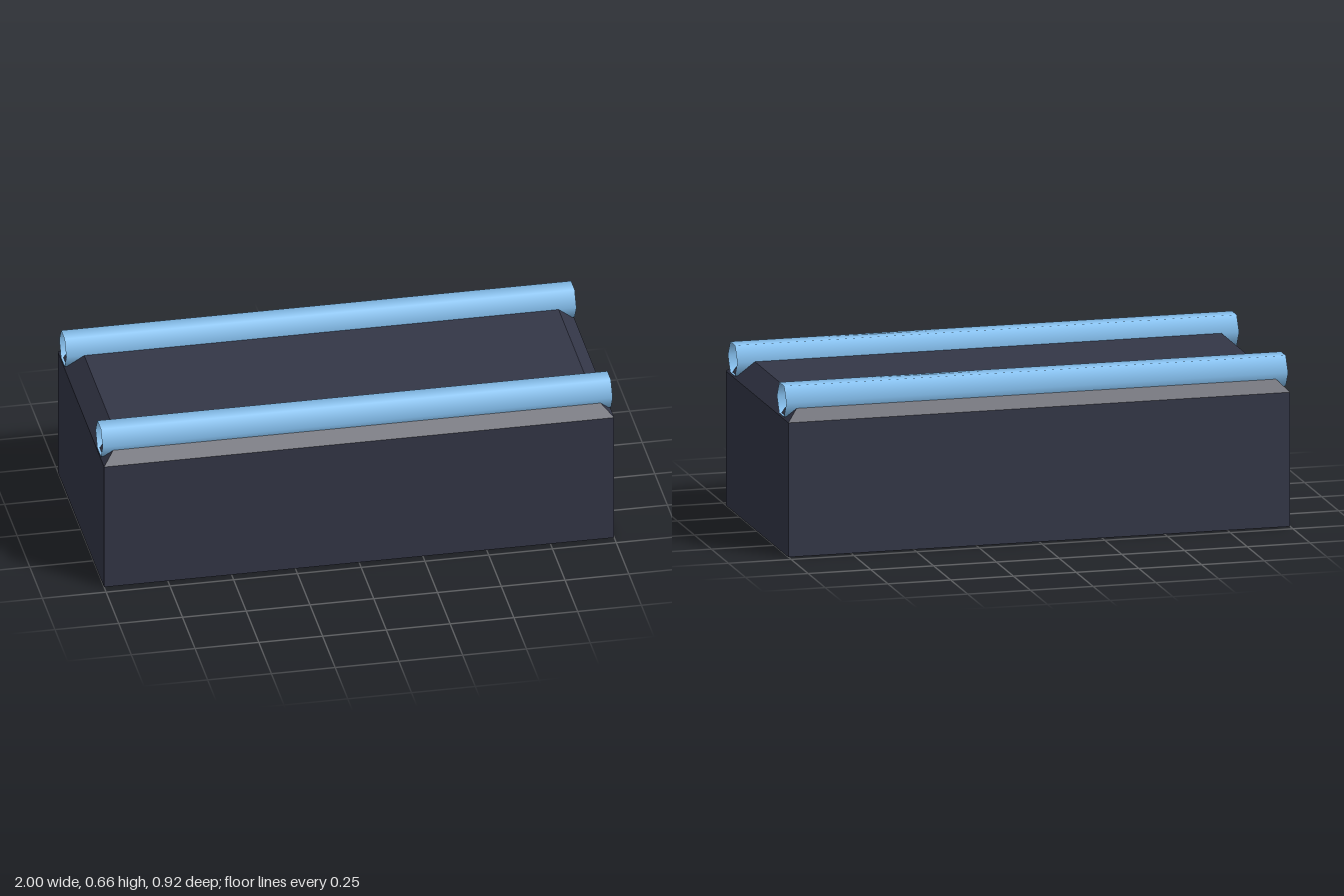
import * as THREE from 'three';

const darkMaterial = new THREE.MeshStandardMaterial({ color: 0x333647, flatShading: true, side: THREE.DoubleSide });
const blueMaterial = new THREE.MeshStandardMaterial({ color: 0x87c3f3, side: THREE.DoubleSide });

// Hollow case, open underneath, with a chamfered top edge
function caseGeometry() {
  // Cross-sections: height, half width, half depth
  const sections = [[0, 1, 0.46], [0.53, 1, 0.46], [0.6, 0.93, 0.39]];
  const positions = [];
  const index = [];
  for (const [y, x, z] of sections) {
    positions.push(-x, y, z, x, y, z, x, y, -z, -x, y, -z);
  }
  for (let s = 0; s < sections.length - 1; s++) {
    for (let i = 0; i < 4; i++) {
      const a = s * 4 + i;
      const b = s * 4 + (i + 1) % 4;
      index.push(a, b, b + 4, a, b + 4, a + 4);
    }
  }
  // Flat top
  const t = (sections.length - 1) * 4;
  index.push(t, t + 1, t + 2, t, t + 2, t + 3);

  const geometry = new THREE.BufferGeometry();
  geometry.setAttribute('position', new THREE.Float32BufferAttribute(positions, 3));
  geometry.setIndex(index);
  const flat = geometry.toNonIndexed();
  flat.computeVertexNormals();
  return flat;
}

export function createModel() {
  const model = new THREE.Group();
  model.name = 'railedCase';

  const body = new THREE.Mesh(caseGeometry(), darkMaterial);
  body.name = 'case';
  model.add(body);

  // Open six-sided tubes half sunk into the top, front and back
  const tube = new THREE.CylinderGeometry(0.07, 0.07, 2, 6, 1, true).rotateZ(Math.PI / 2);
  for (const side of [1, -1]) {
    const rail = new THREE.Mesh(tube, blueMaterial);
    rail.name = side > 0 ? 'frontRail' : 'backRail';
    rail.position.set(0, 0.6, side * 0.36);
    model.add(rail);
  }
  return model;
}
